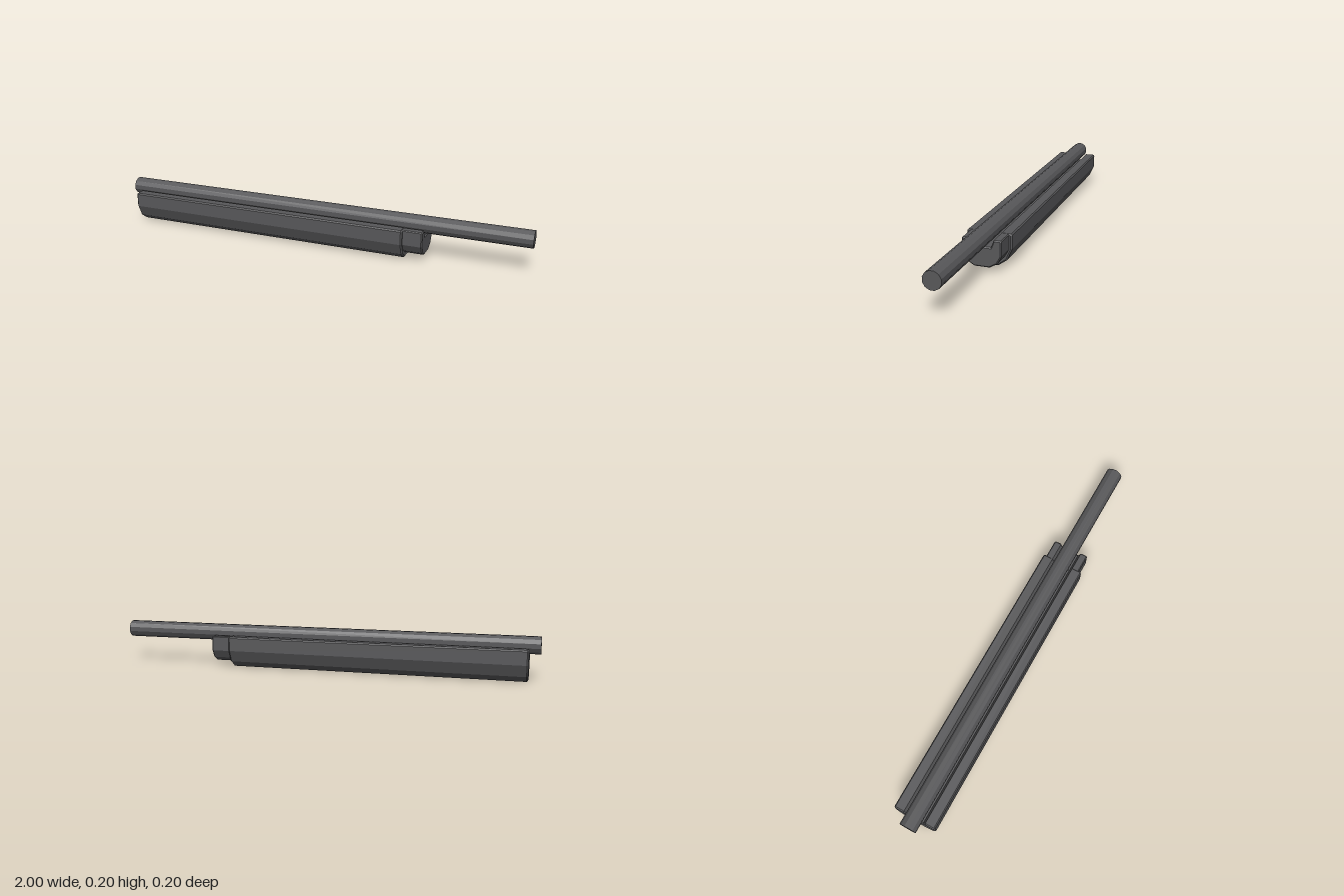
import * as THREE from 'three';

const gunmetal = new THREE.MeshStandardMaterial({ color: 0x58585a });
gunmetal.name = 'darkGrey';

// Channelled block: half-section points (z, y) mirrored, extruded along x with chamfered ends
function channel(name, half, x0, x1, bevel) {
  const points = [...half, ...half.slice().reverse().map(([z, y]) => [-z, y])];
  const shape = new THREE.Shape(points.map(([z, y]) => new THREE.Vector2(z, y)));
  const geometry = new THREE.ExtrudeGeometry(shape, {
    depth: x1 - x0 - 2 * bevel,
    bevelEnabled: true,
    bevelSegments: 1,
    bevelSize: bevel,
    bevelThickness: bevel,
    bevelOffset: -bevel,
  });
  geometry.translate(0, 0, x0 + bevel).rotateY(Math.PI / 2);
  const mesh = new THREE.Mesh(geometry, gunmetal);
  mesh.name = name;
  return mesh;
}

export function createModel() {
  const model = new THREE.Group();
  model.name = 'barrelAssembly';

  // Twelve-sided rod with flats on top and sides
  const rod = new THREE.CylinderGeometry(0.04, 0.04, 2, 12)
    .rotateY(Math.PI / 12)
    .rotateZ(Math.PI / 2)
    .toNonIndexed();
  rod.computeVertexNormals();
  const barrel = new THREE.Mesh(rod, gunmetal);
  barrel.name = 'barrel';
  barrel.position.y = 0.159;
  model.add(barrel);

  // Long cradle under the rod, from bottom edge round to the groove floor
  model.add(channel('foreEnd', [
    [0.037, 0], [0.078, 0.029], [0.102, 0.083], [0.102, 0.144],
    [0.097, 0.15], [0.054, 0.15], [0.04, 0.114],
  ], -0.95, 0.44, 0.006));

  // Smaller end cap with the same groove
  model.add(channel('endCap', [
    [0.034, 0.025], [0.068, 0.045], [0.088, 0.08], [0.088, 0.145],
    [0.084, 0.149], [0.054, 0.149], [0.041, 0.116],
  ], 0.43, 0.53, 0.005));

  return model;
}
